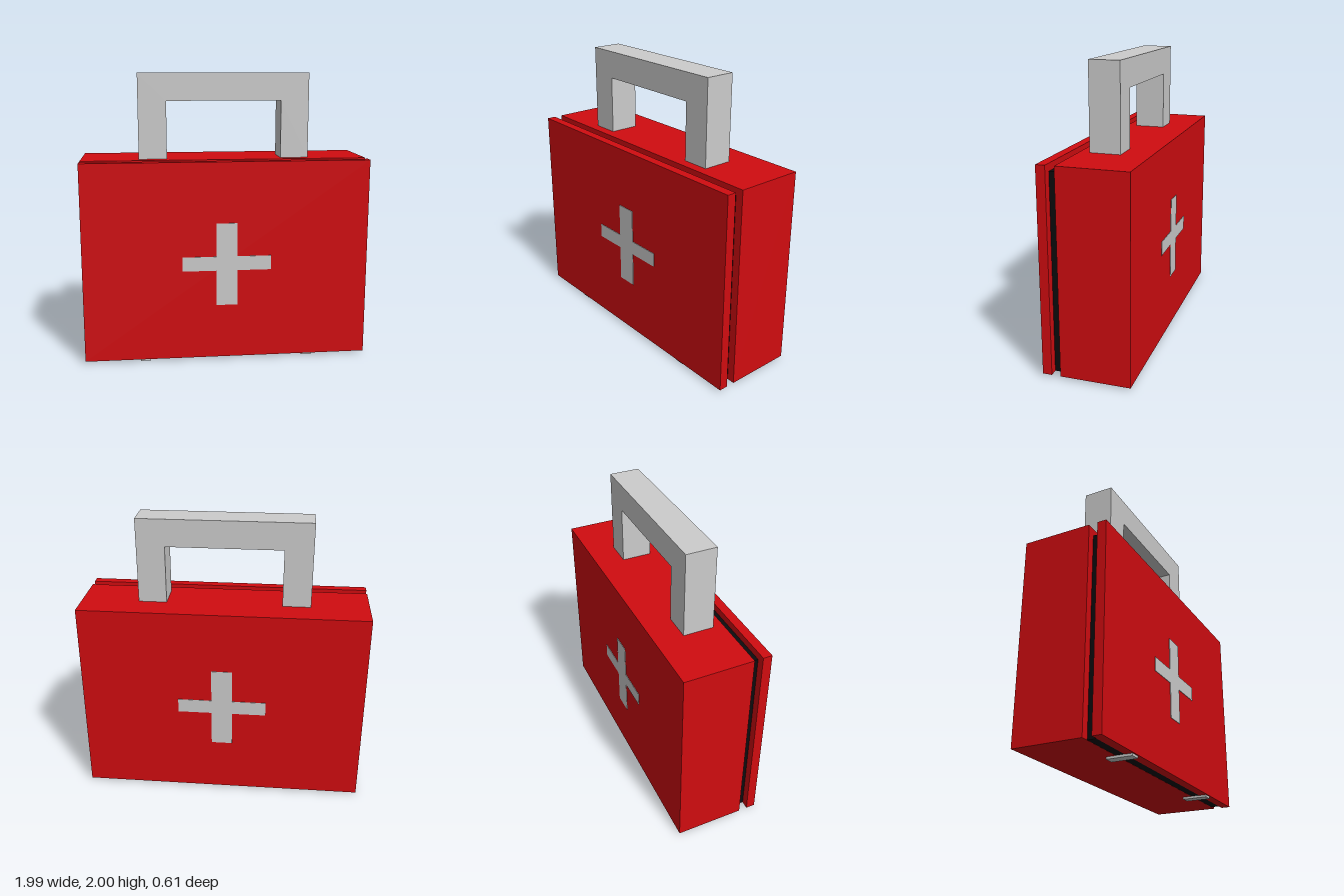
import * as THREE from 'three';

const red = new THREE.MeshStandardMaterial({ color: 0xd00c10 });
const black = new THREE.MeshStandardMaterial({ color: 0x0c0c0e });
const grey = new THREE.MeshStandardMaterial({ color: 0xcccccc });

// Box given by its min and max corners
function box(name, material, [x0, y0, z0], [x1, y1, z1]) {
  const mesh = new THREE.Mesh(new THREE.BoxGeometry(x1 - x0, y1 - y0, z1 - z0), material);
  mesh.position.set((x0 + x1) / 2, (y0 + y1) / 2, (z0 + z1) / 2);
  mesh.name = name;
  return mesh;
}

function extrude(name, points, depth) {
  const shape = new THREE.Shape(points.map(([x, y]) => new THREE.Vector2(x, y)));
  const mesh = new THREE.Mesh(new THREE.ExtrudeGeometry(shape, { depth, bevelEnabled: false }), grey);
  mesh.name = name;
  return mesh;
}

export function createModel() {
  const group = new THREE.Group();
  group.name = 'firstAidCase';

  // Case: deep back shell, dark seal in the gap, thin front lid
  group.add(
    box('caseBody', red, [-0.995, 0.015, -0.3], [0.995, 1.41, 0.175]),
    box('seal', black, [-0.94, 0.016, 0.17], [0.94, 1.36, 0.24]),
    box('lid', red, [-0.995, 0.015, 0.235], [0.995, 1.41, 0.298]),
  );

  // Square carrying handle
  const handle = extrude('handle', [
    [-0.595, 1.41], [-0.4, 1.41], [-0.4, 1.81], [0.4, 1.81],
    [0.4, 1.41], [0.595, 1.41], [0.595, 2], [-0.595, 2],
  ], 0.21);
  handle.position.z = -0.105;
  group.add(handle);

  // Crosses on the front and the back
  const w = 0.073, cross = [
    [-w, 0.4], [w, 0.4], [w, 0.65], [0.31, 0.65], [0.31, 0.75], [w, 0.75],
    [w, 0.985], [-w, 0.985], [-w, 0.75], [-0.31, 0.75], [-0.31, 0.65], [-w, 0.65],
  ];
  const frontCross = extrude('frontCross', cross, 0.006);
  frontCross.position.z = 0.296;
  const backCross = extrude('backCross', cross, 0.006);
  backCross.position.z = -0.303;
  group.add(frontCross, backCross);

  // Hinge plates under the case
  for (const [name, x] of [['leftHinge', 0.575], ['rightHinge', -0.575]]) {
    group.add(box(name, grey, [x - 0.035, 0, 0.11], [x + 0.035, 0.02, 0.288]));
  }
  return group;
}
